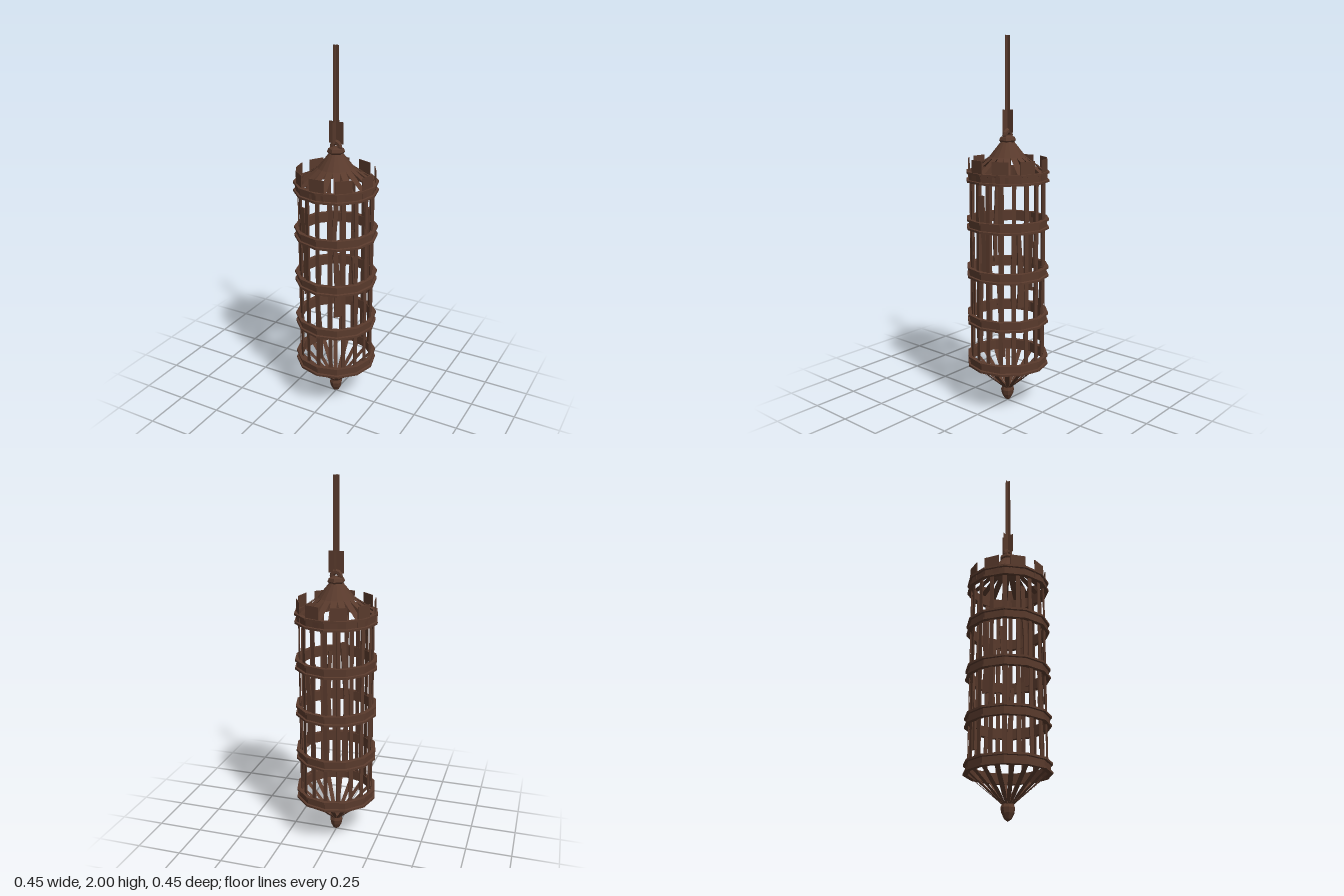
import * as THREE from 'three';

export function createModel() {
  const iron = new THREE.MeshStandardMaterial({ color: 0x593a2c, flatShading: true, side: THREE.DoubleSide });
  iron.name = 'rusty iron';
  const root = new THREE.Group();
  root.name = 'hangingCage';

  const add = (name, geo, parent = root) => {
    const m = new THREE.Mesh(geo, iron);
    m.name = name;
    parent.add(m);
    return m;
  };
  const group = (name) => {
    const g = new THREE.Group();
    g.name = name;
    root.add(g);
    return g;
  };
  const lathe = (pts, sides) => new THREE.LatheGeometry(pts.map(([r, y]) => new THREE.Vector2(r, y)), sides);

  // Flat strip in the +z direction following [radius, height, width] points
  const ribbon = (pts) => {
    const geo = new THREE.PlaneGeometry(1, 1, 1, pts.length - 1);
    const p = geo.attributes.position;
    pts.forEach(([r, y, w], i) => {
      p.setXYZ(i * 2, -w / 2, y, r);
      p.setXYZ(i * 2 + 1, w / 2, y, r);
    });
    geo.computeVertexNormals();
    return geo;
  };
  const rad = THREE.MathUtils.degToRad;

  // Five twelve-sided hoops with flanged edges
  const hoops = group('hoops');
  const hoopProfile = [
    [0.2, -0.028], [0.225, -0.028], [0.225, -0.017], [0.214, -0.015],
    [0.214, 0.015], [0.225, 0.017], [0.225, 0.028], [0.2, 0.028], [0.2, -0.028],
  ];
  for (const y of [0.257, 0.5, 0.76, 1.023, 1.276]) {
    add('hoop', lathe(hoopProfile, 12), hoops).position.y = y;
  }

  // Roof spokes, bottom spokes and upright bars
  const spokes = group('spokes');
  const bars = group('bars');
  const roofGeo = ribbon([[0.03, 1.462, 0.0106], [0.095, 1.378, 0.0335], [0.215, 1.295, 0.034]]);
  const baseGeo = ribbon([[0.02, 0.075, 0.007], [0.07, 0.12, 0.022], [0.212, 0.24, 0.026]]);
  const barGeo = new THREE.BoxGeometry(0.022, 1.05, 0.005);
  for (let i = 0; i < 18; i++) {
    const a = rad(i * 20);
    add('roofSpoke', roofGeo, spokes).rotation.y = a + rad(10);
    add('baseSpoke', baseGeo, spokes).rotation.y = a + rad(10);
    const bar = add('bar', barGeo, bars);
    bar.position.set(Math.sin(a) * 0.2, 0.765, Math.cos(a) * 0.2);
    bar.rotation.y = a;
  }

  // Broken, slightly twisted slats: each kind repeats three times round the cage
  const slats = group('brokenSlats');
  const kinds = [
    { start: 60, from: 0.5, to: 0.95, low: 0.024, high: 0.036 },
    { start: 30, from: 0.6, to: 1.02, low: 0.044, high: 0.02 },
    { start: 90, from: 0.76, to: 1.19, low: 0.022, high: 0.03 },
    { start: 0, from: 0.33, to: 0.76, low: 0.034, high: 0.022 },
  ];
  for (const { start, from, to, low, high } of kinds) {
    const h = to - from;
    const geo = new THREE.BoxGeometry(1, h, 0.008, 1, 3, 1);
    const p = geo.attributes.position;
    for (let i = 0; i < p.count; i++) {
      const t = p.getY(i) / h + 0.5;
      p.setX(i, p.getX(i) * (low + (high - low) * t) + 0.006 * Math.sin(t * 5));
    }
    for (let k = 0; k < 3; k++) {
      const a = rad(start + k * 120);
      const s = add('brokenSlat', geo, slats);
      s.position.set(Math.sin(a) * 0.194, (from + to) / 2, Math.cos(a) * 0.194);
      s.rotation.set(0, a + 0.25, 0.02);
    }
  }

  // Nine upright tabs crowning the top hoop
  const crown = group('crownTabs');
  for (let i = 0; i < 9; i++) {
    const a = rad(i * 40);
    const tab = add('crownTab', new THREE.BoxGeometry(0.085, 0.11, 0.004), crown);
    tab.position.set(Math.sin(a) * 0.205, 1.315, Math.cos(a) * 0.205);
    tab.rotation.y = a;
  }

  // Six-sided collar and carrying loop above the roof
  add('collar', lathe([[0, 1.44], [0.034, 1.447], [0.047, 1.463], [0.04, 1.48], [0.02, 1.488], [0, 1.488]], 6));
  const loop = add('hangingLoop', new THREE.TorusGeometry(0.022, 0.014, 6, 12));
  loop.position.y = 1.49;

  // Crossed plates form the shackle and the chain
  for (const turn of [0, Math.PI / 2]) {
    const shackle = add('shacklePlate', new THREE.PlaneGeometry(turn ? 0.072 : 0.084, 0.115));
    shackle.position.y = 1.563;
    shackle.rotation.y = turn;
    const chain = add('chainPlate', new THREE.PlaneGeometry(0.035, 0.46));
    chain.position.y = 1.77;
    chain.rotation.y = turn;
  }

  // Pointed knob under the cage
  add('bottomKnob', lathe([[0, 0], [0.018, 0.012], [0.032, 0.04], [0.037, 0.066], [0.028, 0.088], [0, 0.095]], 8));

  return root;
}
